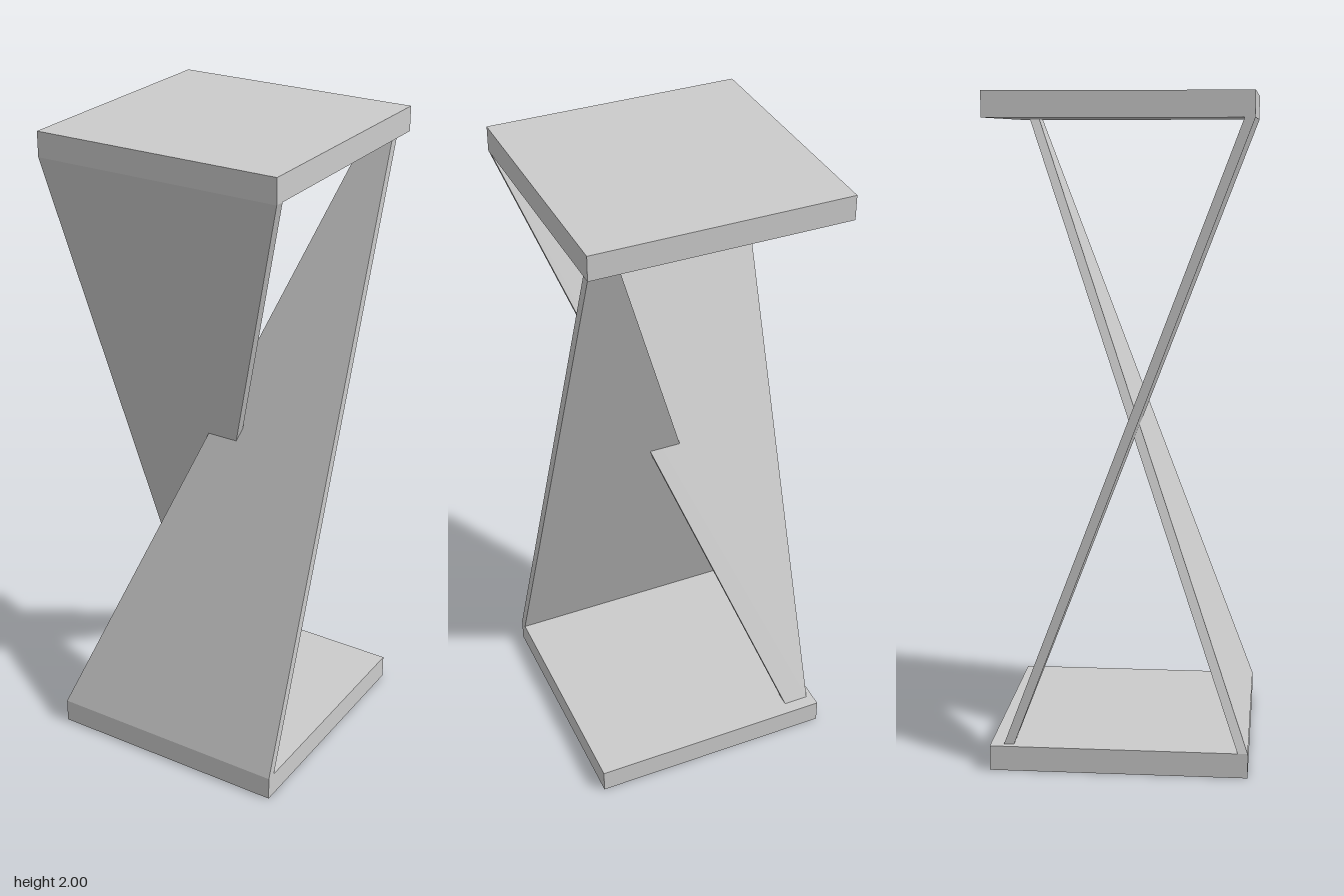
import * as THREE from 'three';

const W = 0.77, T = 0.075, H = 2;

export function createModel() {
  const model = new THREE.Group();
  const mat = new THREE.MeshStandardMaterial({ color: 0xcccccc, flatShading: true });

  const add = (name, geo) => {
    const mesh = new THREE.Mesh(geo, mat);
    mesh.name = name;
    model.add(mesh);
    return mesh;
  };

  // Square plates at top and bottom
  const plate = new THREE.BoxGeometry(W, T, W);
  add('basePlate', plate).position.y = T / 2;
  add('topPlate', plate).position.y = H - T / 2;

  // Tapered panel: full width at the lower front, narrow at the upper back
  const y0 = T, y1 = H - T;
  const shape = new THREE.Shape([
    [-0.385, y0], [0.385, y0], [0.365, y1], [0.285, y1],
  ].map(([x, y]) => new THREE.Vector2(x, y)));
  const panel = new THREE.ExtrudeGeometry(shape, { depth: 0.03, bevelEnabled: false });

  // Shear it so it leans from the front edge to the back edge
  const p = panel.attributes.position;
  for (let i = 0; i < p.count; i++) {
    const t = (p.getY(i) - y0) / (y1 - y0);
    p.setZ(i, p.getZ(i) + 0.355 - 0.7 * t);
  }
  panel.computeVertexNormals();
  add('risingPanel', panel);

  // The same panel turned half a turn about the z axis, crossing at mid height
  const crossing = add('fallingPanel', panel);
  crossing.rotation.z = Math.PI;
  crossing.position.y = H;

  return model;
}
